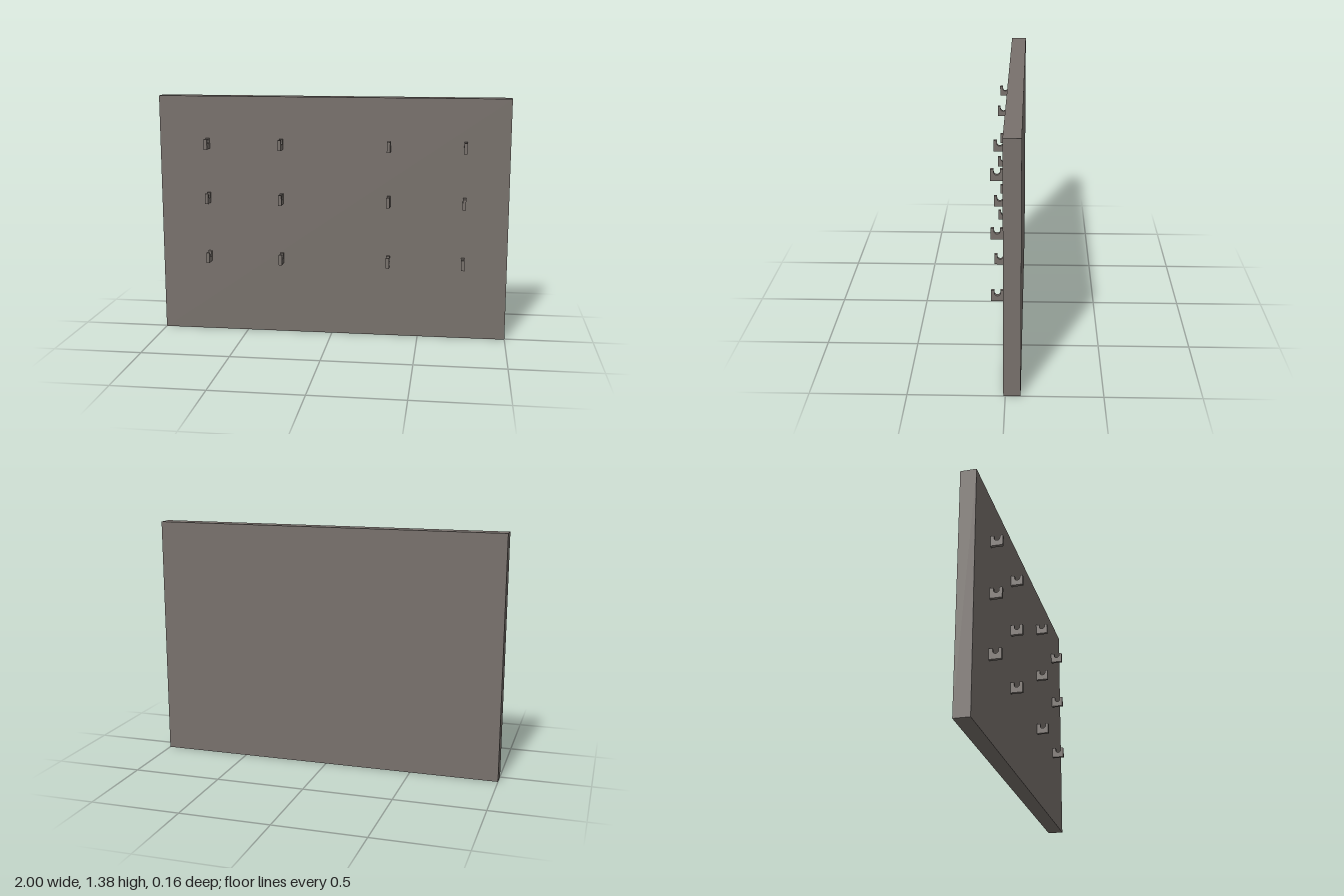
import * as THREE from 'three';

export function createModel() {
  const group = new THREE.Group();
  const stone = new THREE.MeshStandardMaterial({ color: 0x78716c });
  stone.name = 'warm grey';

  const back = -0.078, face = 0.01, front = 0.078, height = 1.378;

  // Upright wall board
  const board = new THREE.Mesh(new THREE.BoxGeometry(2, height, face - back), stone);
  board.name = 'board';
  board.position.set(0, height / 2, (back + face) / 2);
  group.add(board);

  // Hook profile (z across, y up): a block with a round-bottomed slot
  const hookHeight = 0.06, hookWidth = 0.019, slotRadius = 0.0155, slotZ = 0.046;
  const profile = new THREE.Shape();
  profile.moveTo(face, 0);
  profile.lineTo(front, 0);
  profile.lineTo(front, hookHeight);
  profile.lineTo(slotZ + slotRadius, hookHeight);
  profile.absarc(slotZ, 0.03 + slotRadius, slotRadius, 0, -Math.PI, true);
  profile.lineTo(slotZ - slotRadius, hookHeight);
  profile.lineTo(face, hookHeight);
  profile.closePath();

  const hookGeometry = new THREE.ExtrudeGeometry(profile, {
    depth: hookWidth, bevelEnabled: false, curveSegments: 12,
  });
  hookGeometry.translate(0, 0, -hookWidth / 2);
  hookGeometry.rotateY(-Math.PI / 2);

  // Three rows of four hooks
  for (const y of [0.415, 0.763, 1.078]) {
    for (const x of [-0.718, -0.291, 0.326, 0.752]) {
      const hook = new THREE.Mesh(hookGeometry, stone);
      hook.name = 'hook';
      hook.position.set(x, y, 0);
      group.add(hook);
    }
  }
  return group;
}
